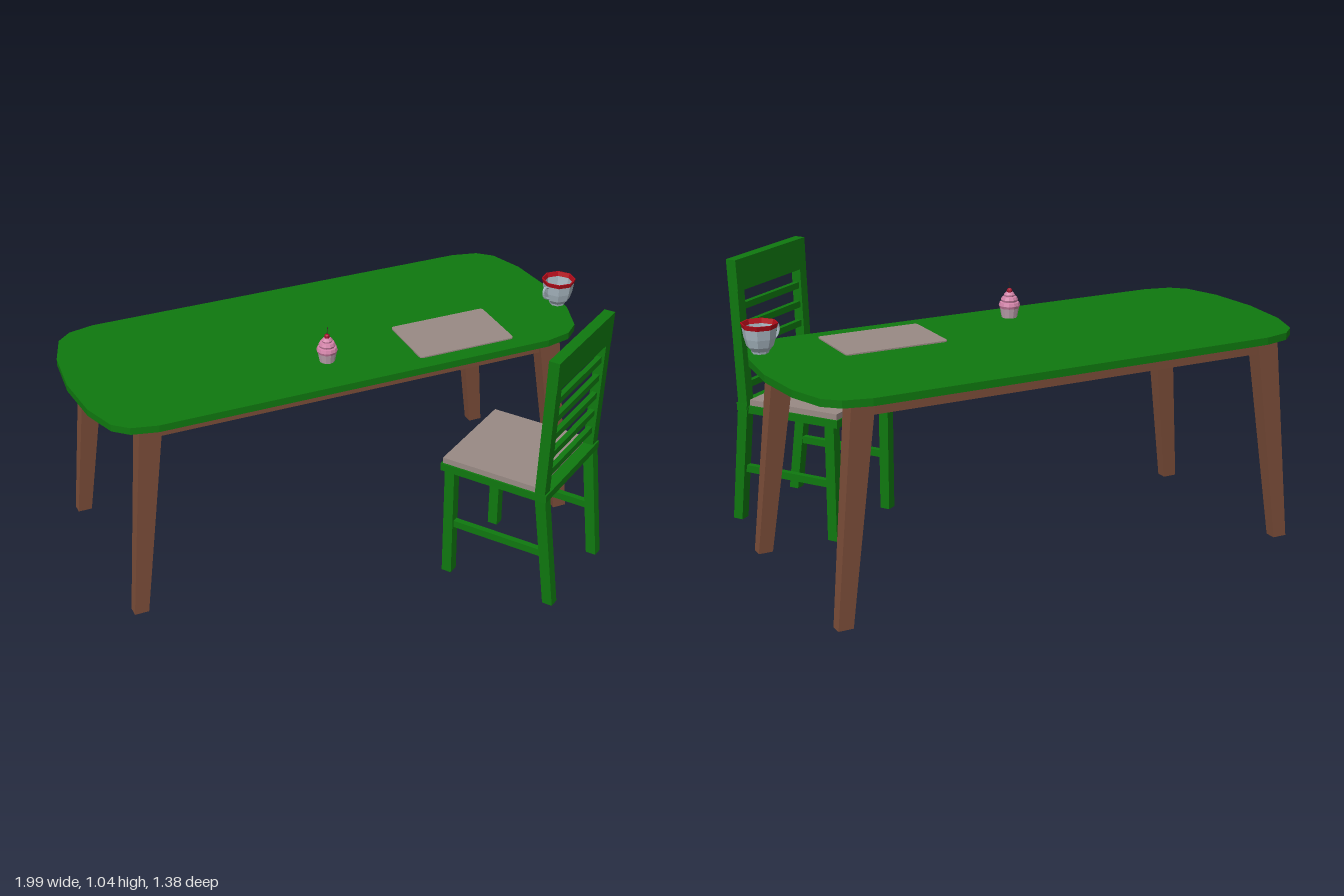
import * as THREE from 'three';

const mat = (name, color, extra = {}) => {
  const m = new THREE.MeshStandardMaterial({ color, flatShading: true, ...extra });
  m.name = name;
  return m;
};

export function createModel() {
  const green = mat('green paint', 0x0f780f);
  const brown = mat('brown wood', 0x7a4c38);
  const beige = mat('beige fabric', 0x998a84);
  const pink = mat('pink frosting', 0xd283a8);
  const paper = mat('paper wrapper', 0xbfa3b0);
  const cherryRed = mat('cherry red', 0xa3122e);
  const dark = mat('dark stem', 0x3a2a26);
  const china = mat('pale china', 0xa9b8c2, { side: THREE.DoubleSide });
  const red = mat('red trim', 0xb50c1a, { side: THREE.DoubleSide });

  const add = (parent, name, geometry, material, x = 0, y = 0, z = 0) => {
    const m = new THREE.Mesh(geometry, material);
    m.name = name;
    m.position.set(x, y, z);
    parent.add(m);
    return m;
  };
  const group = (parent, name) => {
    const g = new THREE.Group();
    g.name = name;
    parent.add(g);
    return g;
  };
  const box = (parent, name, material, w, h, d, x, y, z) =>
    add(parent, name, new THREE.BoxGeometry(w, h, d), material, x, y, z);

  // Slanted, tapered post between two level ends; each end is [x, y, z, width, depth]
  const post = (parent, name, material, low, high) => {
    const geo = new THREE.BoxGeometry(1, 1, 1);
    const p = geo.attributes.position;
    for (let i = 0; i < p.count; i++) {
      const e = p.getY(i) > 0 ? high : low;
      p.setXYZ(i, e[0] + p.getX(i) * e[3], e[1], e[2] + p.getZ(i) * e[4]);
    }
    geo.computeVertexNormals();
    return add(parent, name, geo, material);
  };

  // Flat slab lying in the xz plane, from an outline
  const slab = (shape, depth) =>
    new THREE.ExtrudeGeometry(shape, { depth, bevelEnabled: false, curveSegments: 4 }).rotateX(-Math.PI / 2);

  const root = new THREE.Group();
  root.name = 'diningSet';

  // Table: rounded top, four splayed legs, four aprons
  const table = group(root, 'table');
  table.position.set(-0.006, 0, -0.283);
  const q = [[0.993, 0], [0.975, 0.2], [0.93, 0.335], [0.875, 0.385], [0.776, 0.408]];
  const outline = [
    ...q,
    ...q.slice().reverse().map(([x, z]) => [-x, z]),
    ...q.slice(1).map(([x, z]) => [-x, -z]),
    ...q.slice(1).reverse().map(([x, z]) => [x, -z]),
  ].map(([x, z]) => new THREE.Vector2(x, z));
  add(table, 'tableTop', slab(new THREE.Shape(outline), 0.027), green, 0, 0.779, 0);
  for (const s of [-1, 1]) {
    for (const t of [-1, 1]) {
      post(table, 'tableLeg', brown,
        [s * 0.886, 0.012, t * 0.373, 0.055, 0.043],
        [s * 0.799, 0.779, t * 0.345, 0.085, 0.066]);
    }
    box(table, 'longApron', brown, 1.54, 0.044, 0.03, 0, 0.757, s * 0.35);
    box(table, 'shortApron', brown, 0.03, 0.044, 0.64, s * 0.8, 0.757, 0);
  }

  // Chair: local back is +z, turned towards the table
  const chair = group(root, 'chair');
  chair.position.set(0.53, 0, 0.333);
  chair.rotation.y = 0.602;
  box(chair, 'seatBoard', green, 0.43, 0.03, 0.4, 0, 0.47, 0);
  box(chair, 'seatPad', beige, 0.415, 0.023, 0.385, 0, 0.496, -0.002);
  box(chair, 'backLowerRail', green, 0.45, 0.03, 0.045, 0, 0.48, 0.217);
  for (const s of [-1, 1]) {
    post(chair, 'frontLeg', green,
      [s * 0.19, 0.004, -0.163, 0.04, 0.04], [s * 0.192, 0.46, -0.163, 0.04, 0.04]);
    post(chair, 'backLeg', green,
      [s * 0.192, 0.016, 0.267, 0.04, 0.04], [s * 0.203, 0.47, 0.215, 0.042, 0.042]);
    post(chair, 'backPost', green,
      [s * 0.203, 0.47, 0.212, 0.042, 0.04], [s * 0.206, 0.93, 0.231, 0.042, 0.04]);
    box(chair, 'sideStretcher', green, 0.024, 0.028, 0.41, s * 0.191, 0.226, 0.04);
  }
  for (let i = 0; i < 5; i++) {
    box(chair, 'backSlat', green, 0.38, 0.025, 0.02, 0, 0.56 + i * 0.0755, 0.215 + i * 0.0032);
  }
  post(chair, 'topRail', green,
    [0, 0.926, 0.231, 0.452, 0.042], [0, 1.045, 0.236, 0.456, 0.042]);

  // Placemat with small rounded corners
  const w = 0.197, h = 0.132, r = 0.015;
  const m = new THREE.Shape();
  m.moveTo(-w + r, -h);
  m.lineTo(w - r, -h).quadraticCurveTo(w, -h, w, -h + r);
  m.lineTo(w, h - r).quadraticCurveTo(w, h, w - r, h);
  m.lineTo(-w + r, h).quadraticCurveTo(-w, h, -w, h - r);
  m.lineTo(-w, -h + r).quadraticCurveTo(-w, -h, -w + r, -h);
  add(root, 'placemat', slab(m, 0.005), beige, 0.458, 0.806, -0.073);

  const lathe = (pts, n) => new THREE.LatheGeometry(pts.map(([x, y]) => new THREE.Vector2(x, y)), n);

  // Cupcake: wrapper, tiered frosting, cherry with a stem
  const cake = group(root, 'cupcake');
  cake.position.set(-0.072, 0.82, -0.047);
  add(cake, 'wrapper', lathe([[0, 0], [0.029, 0], [0.036, 0.037], [0, 0.037]], 12), paper);
  add(cake, 'frosting', lathe([[0, 0.036], [0.036, 0.036], [0.04, 0.046], [0.036, 0.058], [0.029, 0.06],
    [0.032, 0.068], [0.027, 0.078], [0.019, 0.08], [0.021, 0.086], [0.014, 0.095], [0, 0.097]], 12), pink);
  add(cake, 'cherry', new THREE.SphereGeometry(0.011, 8, 6), cherryRed, 0, 0.1, 0);
  post(cake, 'cherryStem', dark, [0, 0.108, 0, 0.002, 0.002], [0.004, 0.135, -0.004, 0.002, 0.002]);

  // Teacup: eight-sided bowl with a red rim and a side handle
  const cup = group(root, 'teacup');
  cup.position.set(0.93, 0.828, -0.097);
  cup.rotation.y = 0.3;
  add(cup, 'cupOuter', lathe([[0, 0], [0.03, 0], [0.032, 0.008], [0.047, 0.025], [0.056, 0.055], [0.061, 0.09]], 8), china);
  add(cup, 'cupInner', lathe([[0.056, 0.09], [0.051, 0.056], [0.042, 0.029], [0.028, 0.013], [0, 0.013]], 8), china);
  add(cup, 'cupRim', lathe([[0.061, 0.09], [0.066, 0.107], [0.061, 0.107], [0.056, 0.09]], 8), red);
  const curve = new THREE.CatmullRomCurve3([[-0.058, 0.086], [-0.075, 0.09], [-0.083, 0.073], [-0.074, 0.048], [-0.05, 0.035]]
    .map(([x, y]) => new THREE.Vector3(x, y, 0)));
  add(cup, 'cupHandle', new THREE.TubeGeometry(curve, 10, 0.005, 6), china);

  return root;
}
